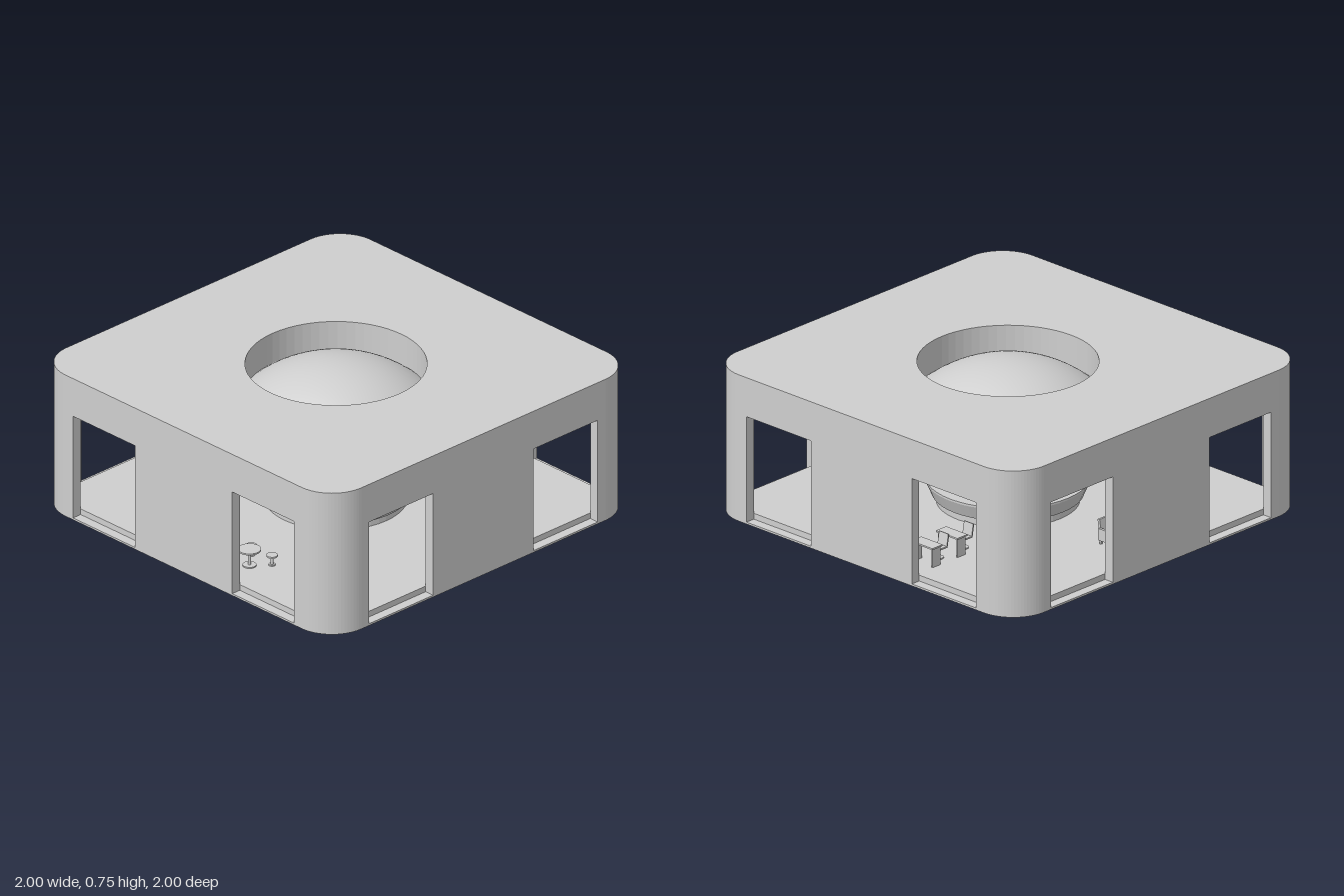
import * as THREE from 'three';

export function createModel() {
  const root = new THREE.Group();
  const grey = new THREE.MeshStandardMaterial({ color: 0xcfcfcf });
  grey.name = 'light grey';
  const shell = grey.clone();
  shell.side = THREE.DoubleSide;

  const T = 0.05, CEIL = 0.58, TOP = 0.75, HEAD = 0.55, FLOOR = 0.04, HOLE = 0.43;

  function add(parent, name, geo, x = 0, y = 0, z = 0, mat = grey) {
    const m = new THREE.Mesh(geo, mat);
    m.name = name;
    m.position.set(x, y, z);
    parent.add(m);
    return m;
  }
  const box = (w, h, d) => new THREE.BoxGeometry(w, h, d);
  const cyl = (rt, rb, h, n = 20) => new THREE.CylinderGeometry(rt, rb, h, n);

  // Rounded square plan
  function plan(half, r, C = THREE.Shape) {
    const s = new C(), c = half - r;
    s.moveTo(half, -c);
    s.absarc(c, c, r, 0, Math.PI / 2);
    s.absarc(-c, c, r, Math.PI / 2, Math.PI);
    s.absarc(-c, -c, r, Math.PI, Math.PI * 1.5);
    s.absarc(c, -c, r, Math.PI * 1.5, Math.PI * 2);
    s.closePath();
    return s;
  }
  // Upright extrusion of a plan
  function raise(shape, h, seg = 10) {
    const g = new THREE.ExtrudeGeometry(shape, { depth: h, bevelEnabled: false, curveSegments: seg });
    return g.rotateX(-Math.PI / 2);
  }

  // Base, floor and roof
  add(root, 'basePlate', raise(plan(1, 0.2), 0.01));
  add(root, 'floor', raise(plan(1 - T, 0.2 - T), FLOOR - 0.01), 0, 0.01, 0);
  const ring = plan(1, 0.2);
  ring.holes.push(plan(1 - T, 0.2 - T, THREE.Path));
  add(root, 'lintelRing', raise(ring, CEIL - HEAD), 0, HEAD, 0);
  const roof = plan(1, 0.2);
  // Roof opening from a many sided circle
  const circle = new THREE.Path();
  circle.setFromPoints(Array.from({ length: 64 }, (_, i) => {
    const a = -i / 64 * Math.PI * 2;
    return new THREE.Vector2(HOLE * Math.cos(a), HOLE * Math.sin(a));
  }));
  roof.holes.push(circle);
  add(root, 'roof', raise(roof, TOP - CEIL), 0, CEIL, 0);

  // Shallow dome set in the roof opening
  const rim = 0.59, sag = 0.155;
  const R = (HOLE * HOLE + sag * sag) / (2 * sag);
  const dome = new THREE.SphereGeometry(R, 64, 16, 0, Math.PI * 2, 0, Math.asin(HOLE / R));
  add(root, 'skylightDome', dome, 0, rim + sag - R, 0, shell);

  // Walls: rounded corner, panel between openings and ceiling strip on each side
  const corner = new THREE.Shape();
  corner.moveTo(1, 0.75);
  corner.lineTo(1, 0.8);
  corner.absarc(0.8, 0.8, 0.2, 0, Math.PI / 2);
  corner.lineTo(0.75, 1);
  corner.lineTo(0.75, 1 - T);
  corner.lineTo(0.8, 1 - T);
  corner.absarc(0.8, 0.8, 0.2 - T, Math.PI / 2, 0, true);
  corner.lineTo(1 - T, 0.75);
  corner.closePath();
  for (let k = 0; k < 4; k++) {
    const side = new THREE.Group();
    side.name = 'wallSide';
    side.rotation.y = k * Math.PI / 2;
    add(side, 'cornerWall', raise(corner, HEAD - 0.01), 0, 0.01, 0);
    add(side, 'wallPanel', box(0.66, HEAD - 0.01, T), 0, (HEAD + 0.01) / 2, 1 - T / 2);
    add(side, 'ceilingStrip', box(0.66, 0.02, 0.03), 0, CEIL - 0.01, 0.79);
    root.add(side);
  }

  // Round counter with flared front
  const counter = [[0.29, 0.04], [0.34, 0.04], [0.34, 0.08], [0.36, 0.08], [0.39, 0.15],
    [0.39, 0.16], [0.29, 0.16], [0.29, 0.04]].map(p => new THREE.Vector2(...p));
  const counterGeo = new THREE.LatheGeometry(counter, 48).toNonIndexed();
  counterGeo.computeVertexNormals();
  add(root, 'roundCounter', counterGeo);

  function place(name, x, z, turn = 0) {
    const g = new THREE.Group();
    g.name = name;
    g.position.set(x, FLOOR, z);
    g.rotation.y = turn;
    root.add(g);
    return g;
  }

  // Pedestal chair facing -z
  function chair(x, z) {
    const g = place('chair', x, z);
    add(g, 'chairFoot', cyl(0.025, 0.025, 0.006), 0, 0.003, 0);
    add(g, 'chairStem', cyl(0.006, 0.006, 0.05, 10), 0, 0.028, 0);
    add(g, 'chairSeat', box(0.06, 0.008, 0.06), 0, 0.055, 0);
    add(g, 'chairBack', box(0.06, 0.065, 0.007), 0, 0.086, 0.033).rotation.x = 0.18;
  }
  // Desk with two side panels
  function desk(x, z) {
    const g = place('desk', x, z);
    add(g, 'deskTop', box(0.14, 0.008, 0.07), 0, 0.098, 0);
    for (const s of [-1, 1]) add(g, 'deskLeg', box(0.008, 0.094, 0.055), s * 0.06, 0.047, 0);
  }
  for (const z of [-0.645, -0.815]) {
    desk(-0.25, z);
    chair(-0.25, z + 0.08);
  }

  // Round table and stools
  function pedestal(name, x, z, r, h) {
    const g = place(name, x, z);
    add(g, name + 'Foot', cyl(r * 0.6, r * 0.6, 0.006), 0, 0.003, 0);
    add(g, name + 'Stem', cyl(0.007, 0.007, h, 10), 0, h / 2, 0);
    add(g, name + 'Top', cyl(r, r, 0.008, 24), 0, h, 0);
  }
  pedestal('table', 0.22, 0.78, 0.055, 0.085);
  pedestal('stool', 0.29, 0.7, 0.027, 0.05);
  pedestal('stool', 0.15, 0.7, 0.027, 0.05);

  // Armchairs facing the middle of the room
  function armchair(x, z, turn) {
    const g = place('armchair', x, z, turn);
    add(g, 'armchairSeat', box(0.09, 0.03, 0.08), 0, 0.035, 0);
    add(g, 'armchairBack', box(0.09, 0.095, 0.014), 0, 0.075, -0.04).rotation.x = -0.15;
    for (const s of [-1, 1]) {
      add(g, 'armrest', box(0.014, 0.06, 0.08), s * 0.048, 0.05, 0);
      for (const f of [-1, 1]) add(g, 'armchairLeg', box(0.01, 0.02, 0.01), s * 0.045, 0.01, f * 0.033);
    }
  }
  armchair(-0.72, -0.04, -Math.PI / 2);
  armchair(0.83, 0.07, -Math.PI / 2);

  // Tapered tubs
  for (const s of [-1, 1]) {
    const g = place('tub', s * 0.85, -s * 0.31);
    add(g, 'tubFoot', cyl(0.03, 0.03, 0.04), 0, 0.02, 0);
    add(g, 'tubBowl', cyl(0.05, 0.036, 0.08), 0, 0.08, 0);
  }

  return root;
}
